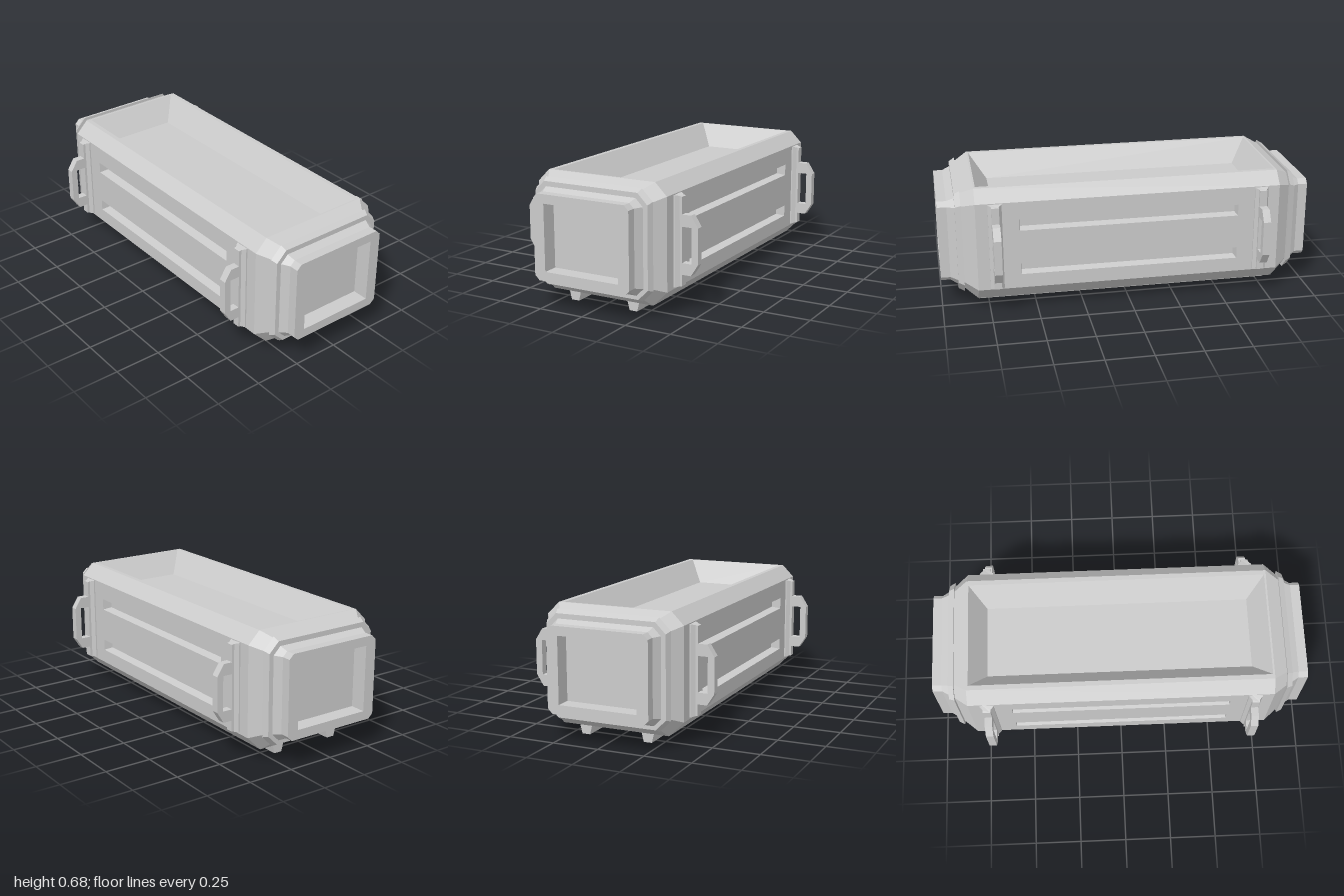
import * as THREE from 'three';

const material = new THREE.MeshStandardMaterial({ color: 0xcccccc, flatShading: true });

function addMesh(parent, name, geometry) {
  const mesh = new THREE.Mesh(geometry, material);
  mesh.name = name;
  parent.add(mesh);
  return mesh;
}

// Flat-shaded geometry from four-cornered faces, counter-clockwise from outside
function quadGeometry(quads) {
  const pos = [];
  for (const [a, b, c, d] of quads) pos.push(...a, ...b, ...c, ...a, ...c, ...d);
  const g = new THREE.BufferGeometry();
  g.setAttribute('position', new THREE.Float32BufferAttribute(pos, 3));
  g.computeVertexNormals();
  return g;
}

// Eight-sided cross-section at depth z, counter-clockwise seen from +z
function octagon({ z, hx, y0, y1, cb, ct }) {
  return [
    [-hx + cb, y0, z], [hx - cb, y0, z], [hx, y0 + cb, z], [hx, y1 - ct, z],
    [hx - ct, y1, z], [-hx + ct, y1, z], [-hx, y1 - ct, z], [-hx, y0 + cb, z],
  ];
}

// Skin over cross-sections ordered from -z to +z; skip leaves out chosen sides
function loft(sections, skip = []) {
  const quads = [];
  for (let s = 0; s + 1 < sections.length; s++) {
    const a = octagon(sections[s]), b = octagon(sections[s + 1]);
    for (let i = 0; i < 8; i++) {
      const j = (i + 1) % 8;
      if (!skip.includes(i)) quads.push([a[i], a[j], b[j], b[i]]);
    }
  }
  return quadGeometry(quads);
}

const rect = (cx, cy, hw, hh) => [
  [cx - hw, cy - hh], [cx + hw, cy - hh], [cx + hw, cy + hh], [cx - hw, cy + hh],
];
const vectors = (pts) => pts.map(([x, y]) => new THREE.Vector2(x, y));

// Flat plate facing local +z with tapered rectangular recesses sunk into it
function recessedPanel(name, outline, recesses) {
  const panel = new THREE.Group();
  panel.name = name;
  const shape = new THREE.Shape(vectors(outline));
  const quads = [];
  for (const { cx = 0, cy, hw, hh, inset, depth } of recesses) {
    const rim = rect(cx, cy, hw, hh);
    const bottom = rect(cx, cy, hw - inset, hh - inset);
    shape.holes.push(new THREE.Path(vectors(rim).reverse()));
    const R = rim.map(([x, y]) => [x, y, 0]);
    const B = bottom.map(([x, y]) => [x, y, -depth]);
    quads.push(B);
    for (let i = 0; i < 4; i++) {
      const j = (i + 1) % 4;
      quads.push([R[i], R[j], B[j], B[i]]);
    }
  }
  addMesh(panel, name + 'Face', new THREE.ShapeGeometry(shape));
  addMesh(panel, name + 'Recess', quadGeometry(quads));
  return panel;
}

function createEnd() {
  const end = new THREE.Group();
  // Stepped, narrowing cap with a raised band
  addMesh(end, 'endCap', loft([
    { z: 0.81, hx: 0.375, y0: 0.05, y1: 0.675, cb: 0.08, ct: 0.065 },
    { z: 0.88, hx: 0.32, y0: 0.105, y1: 0.64, cb: 0.055, ct: 0.055 },
    { z: 0.88, hx: 0.338, y0: 0.09, y1: 0.655, cb: 0.06, ct: 0.06 },
    { z: 0.91, hx: 0.325, y0: 0.105, y1: 0.638, cb: 0.055, ct: 0.055 },
    { z: 0.91, hx: 0.3, y0: 0.125, y1: 0.612, cb: 0.04, ct: 0.04 },
    { z: 0.95, hx: 0.275, y0: 0.15, y1: 0.595, cb: 0.025, ct: 0.025 },
    { z: 1, hx: 0.275, y0: 0.15, y1: 0.595, cb: 0.025, ct: 0.025 },
  ]));
  // Framed end plate
  const outline = octagon({ z: 0, hx: 0.275, y0: 0.15, y1: 0.595, cb: 0.025, ct: 0.025 });
  const plate = recessedPanel('endPlate', outline,
    [{ cy: 0.373, hw: 0.213, hh: 0.174, inset: 0, depth: 0.085 }]);
  plate.position.z = 1;
  end.add(plate);
  return end;
}

// Carrying loop with its flared mounting bracket, for the +x side
function createHandle() {
  const handle = new THREE.Group();
  const shape = new THREE.Shape(vectors([
    [0.4, 0.205], [0.462, 0.205], [0.5, 0.265], [0.5, 0.45], [0.462, 0.51], [0.4, 0.51],
  ]));
  shape.holes.push(new THREE.Path(vectors(rect(0.439, 0.357, 0.026, 0.092)).reverse()));
  const loop = new THREE.ExtrudeGeometry(shape, { depth: 0.04, bevelEnabled: false });
  addMesh(handle, 'handleLoop', loop.translate(0, 0, -0.02));

  const profile = new THREE.Shape(vectors([
    [0.36, -0.036], [0.382, -0.036], [0.4, -0.02], [0.413, -0.02],
    [0.413, 0.02], [0.4, 0.02], [0.382, 0.036], [0.36, 0.036],
  ]));
  const bracket = new THREE.ExtrudeGeometry(profile, { depth: 0.47, bevelEnabled: false });
  bracket.rotateX(-Math.PI / 2).translate(0, 0.137, 0);
  // Slope the upper and lower ends inwards towards the loop
  const p = bracket.attributes.position;
  for (let i = 0; i < p.count; i++) {
    const slope = Math.max(0, p.getX(i) - 0.375) * 0.25;
    p.setY(i, p.getY(i) + (p.getY(i) < 0.37 ? slope : -slope));
  }
  addMesh(handle, 'handleBracket', bracket);
  return handle;
}

export function createModel() {
  const model = new THREE.Group();
  model.name = 'crate';

  // Chamfered hull; the sides and top are closed by recessed panels
  const main = { hx: 0.375, y0: 0.05, y1: 0.675, cb: 0.08, ct: 0.065 };
  addMesh(model, 'hull', loft([{ z: -0.81, ...main }, { z: 0.81, ...main }], [2, 4, 6]));

  // Open tray on top
  const tray = recessedPanel('tray', rect(0, 0, 0.31, 0.81),
    [{ cy: 0, hw: 0.285, hh: 0.8, inset: 0.09, depth: 0.125 }]);
  tray.rotation.x = -Math.PI / 2;
  tray.position.y = 0.675;
  model.add(tray);

  for (const side of [1, -1]) {
    const name = side > 0 ? 'left' : 'right';

    // Side wall with two long grooves
    const wall = recessedPanel(name + 'Wall', rect(0, 0.37, 0.81, 0.24),
      [0.237, 0.483].map((cy) => ({ cy, hw: 0.585, hh: 0.031, inset: 0.007, depth: 0.05 })));
    wall.rotation.y = side * Math.PI / 2;
    wall.position.x = side * 0.375;
    model.add(wall);

    // Handles near both ends
    for (const z of [0.71, -0.71]) {
      const handle = createHandle();
      handle.name = name + (z > 0 ? 'FrontHandle' : 'BackHandle');
      handle.rotation.y = side > 0 ? 0 : Math.PI;
      handle.position.z = z;
      model.add(handle);
    }

    // Tapered skid rail
    const rail = new THREE.Shape(vectors([
      [-0.022, 0], [0.022, 0], [0.036, 0.055], [-0.036, 0.055],
    ]));
    const skid = new THREE.ExtrudeGeometry(rail, { depth: 1.6, bevelEnabled: false });
    addMesh(model, name + 'Skid', skid.translate(side * 0.174, 0, -0.8));
  }

  // Matching front and back ends
  for (const [name, angle] of [['frontEnd', 0], ['backEnd', Math.PI]]) {
    const end = createEnd();
    end.name = name;
    end.rotation.y = angle;
    model.add(end);
  }
  return model;
}
